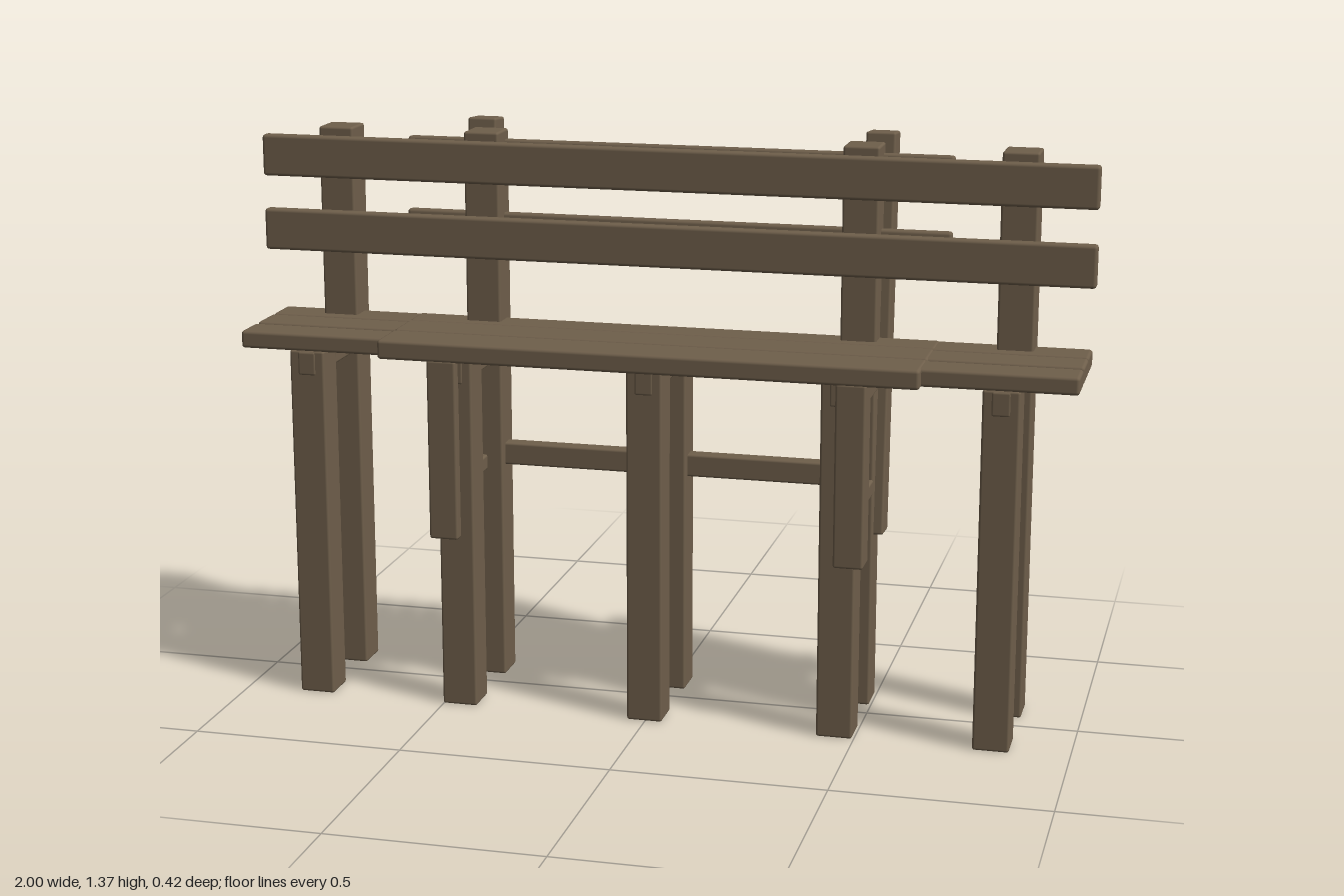
import * as THREE from 'three';
import { RoundedBoxGeometry } from 'three/addons/geometries/RoundedBoxGeometry.js';

export function createModel() {
  const bench = new THREE.Group();
  bench.name = 'bench';
  const wood = new THREE.MeshStandardMaterial({ color: 0x6f5f4b });
  wood.name = 'weathered wood';

  // Softly bevelled beam spanning [min, max] on each axis
  function beam(name, x, y, z, parent = bench, radius = 0.006) {
    const geometry = new RoundedBoxGeometry(x[1] - x[0], y[1] - y[0], z[1] - z[0], 2, radius);
    const mesh = new THREE.Mesh(geometry, wood);
    mesh.name = name;
    mesh.position.set((x[0] + x[1]) / 2, (y[0] + y[1]) / 2, (z[0] + z[1]) / 2);
    parent.add(mesh);
    return mesh;
  }
  const around = (c, width) => [c - width / 2, c + width / 2];

  // Long bench: five leg pairs, the middle back leg stops at the seat
  for (const x of [-0.823, -0.459, -0.002, 0.453, 0.818]) {
    const middle = Math.abs(x) < 0.1;
    beam('frontLeg', around(x, 0.085), [0, 0.852], [0.095, 0.181]);
    beam('backLeg', around(x, 0.085), [0, middle ? 0.852 : 1.35], [-0.139, -0.053]);
    beam('seatSupport', around(x, 0.045), [0.792, 0.85], [-0.141, 0.183]);
  }

  // Long seat planks
  for (const z of [[0.092, 0.181], [-0.017, 0.077], [-0.115, -0.025]]) {
    beam('longSeatPlank', [-0.987, 0.99], [0.85, 0.892], z, bench, 0.008);
  }

  // Long back rails
  for (const y of [1.05, 1.23]) {
    beam('longBackRail', [-1, 1], [y, y + 0.1], [-0.053, -0.022], bench, 0.008);
  }

  // Short bench seat, laid within the long one
  for (const z of [[0.09, 0.208], [-0.02, 0.084], [-0.112, -0.028]]) {
    beam('shortSeatPlank', [-0.638, 0.638], [0.848, 0.894], z, bench, 0.008);
  }

  // Short bench legs and side stretchers
  for (const side of [-1, 1]) {
    const x = side * 0.483;
    beam('shortFrontLeg', around(x, 0.07), [0.42, 0.852], [0.135, 0.206]);
    beam('sideStretcher', around(side * 0.475, 0.04), [0.524, 0.562], [-0.1, 0.15]);
    beam('shortSeatSupport', around(x, 0.055), [0.792, 0.85], [-0.1, 0.17]);
  }
  beam('backStretcher', [-0.47, 0.47], [0.533, 0.588], [-0.117, -0.077]);

  // Leaning back frame of the short bench, pivoted at the foot of the posts
  const backFrame = new THREE.Group();
  backFrame.name = 'leaningBack';
  backFrame.position.set(0, 0.42, -0.105);
  backFrame.rotation.x = -0.0736;
  for (const side of [-1, 1]) {
    beam('leaningPost', around(side * 0.483, 0.07), [0, 0.952], [-0.035, 0.035], backFrame);
  }
  for (const y of [0.632, 0.807]) {
    beam('shortBackRail', [-0.66, 0.66], [y, y + 0.098], [0.034, 0.064], backFrame, 0.008);
  }
  bench.add(backFrame);

  return bench;
}
